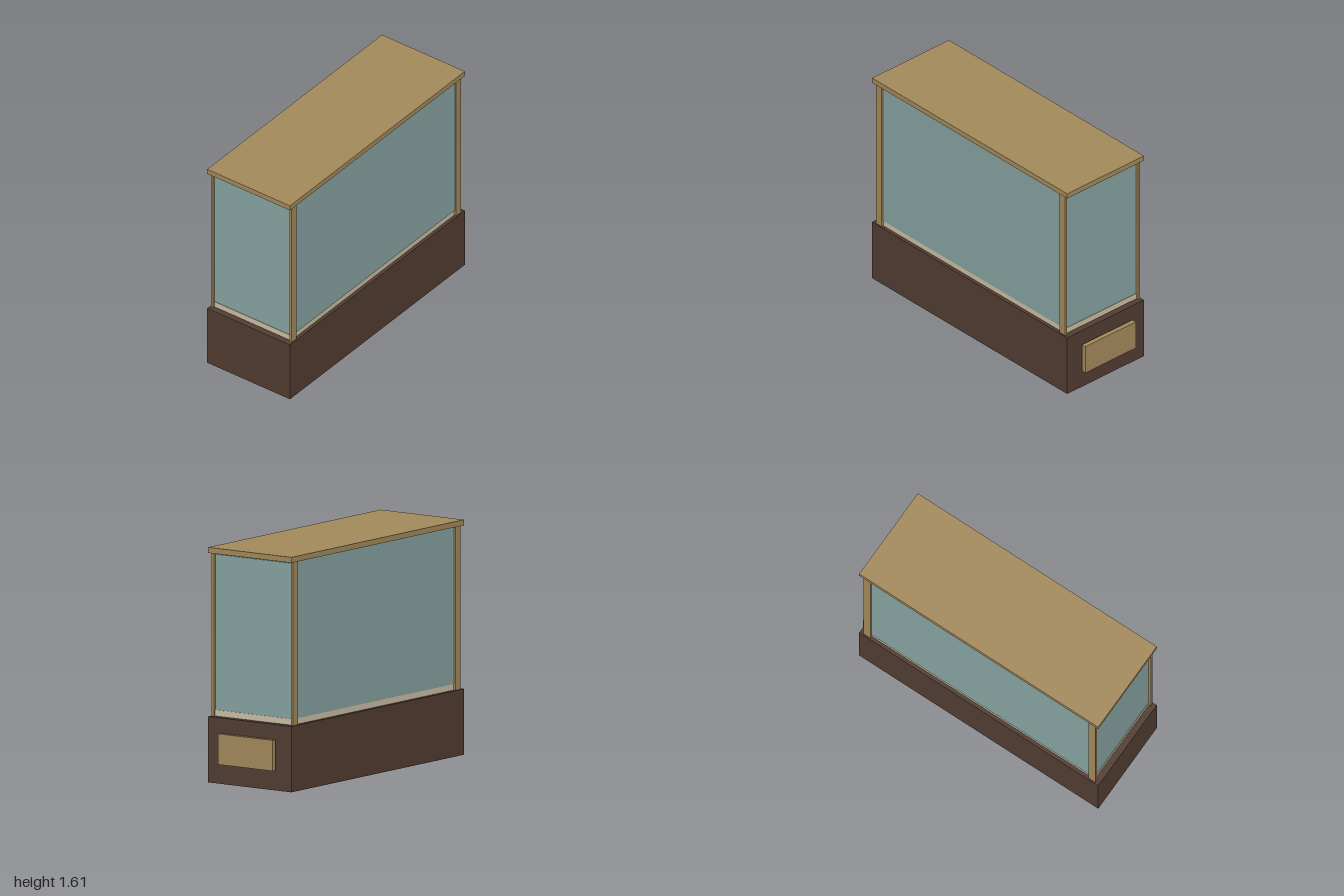
import * as THREE from 'three';

export function createModel() {
  const model = new THREE.Group();
  const material = (color) => new THREE.MeshStandardMaterial({ color });
  const darkWood = material(0x523d32);
  const lightWood = material(0xa48a5c);
  const glass = material(0x87a4a2);
  const sand = material(0xcdc0a5);

  // Box given by its lower and upper corner
  const box = (name, mat, [x0, y0, z0], [x1, y1, z1], parent = model) => {
    const mesh = new THREE.Mesh(new THREE.BoxGeometry(x1 - x0, y1 - y0, z1 - z0), mat);
    mesh.position.set((x0 + x1) / 2, (y0 + y1) / 2, (z0 + z1) / 2);
    mesh.name = name;
    parent.add(mesh);
    return mesh;
  };

  // The cabinet is centred a little forward, leaving room for the rear panel
  const cabinet = new THREE.Group();
  cabinet.name = 'cabinet';
  cabinet.position.z = 0.025;
  model.add(cabinet);

  box('base', darkWood, [-0.35, 0, -0.975], [0.35, 0.45, 0.975], cabinet);
  box('lid', lightWood, [-0.35, 1.567, -0.975], [0.35, 1.605, 0.975], cabinet);
  box('floorBed', sand, [-0.325, 0.45, -0.93], [0.325, 0.492, 0.93], cabinet);

  for (const s of [-1, 1]) {
    // Long side panes reach the lid, end panes stop just short of it
    const side = box('sidePane', glass, [-0.005, 0.492, -0.905], [0.005, 1.567, 0.905], cabinet);
    side.position.x = s * 0.325;
    const end = box('endPane', glass, [-0.325, 0.492, -0.005], [0.325, 1.555, 0.005], cabinet);
    end.position.z = s * 0.922;

    // Corner posts
    for (const t of [-1, 1]) {
      const post = box('cornerPost', lightWood, [-0.009, 0.45, -0.0275], [0.009, 1.567, 0.0275], cabinet);
      post.position.x = s * 0.332;
      post.position.z = t * 0.9175;
    }
  }

  // Plain panel standing just off the back of the base
  box('rearPanel', lightWood, [-0.23, 0.14, -1], [0.23, 0.35, -0.966]);

  return model;
}
